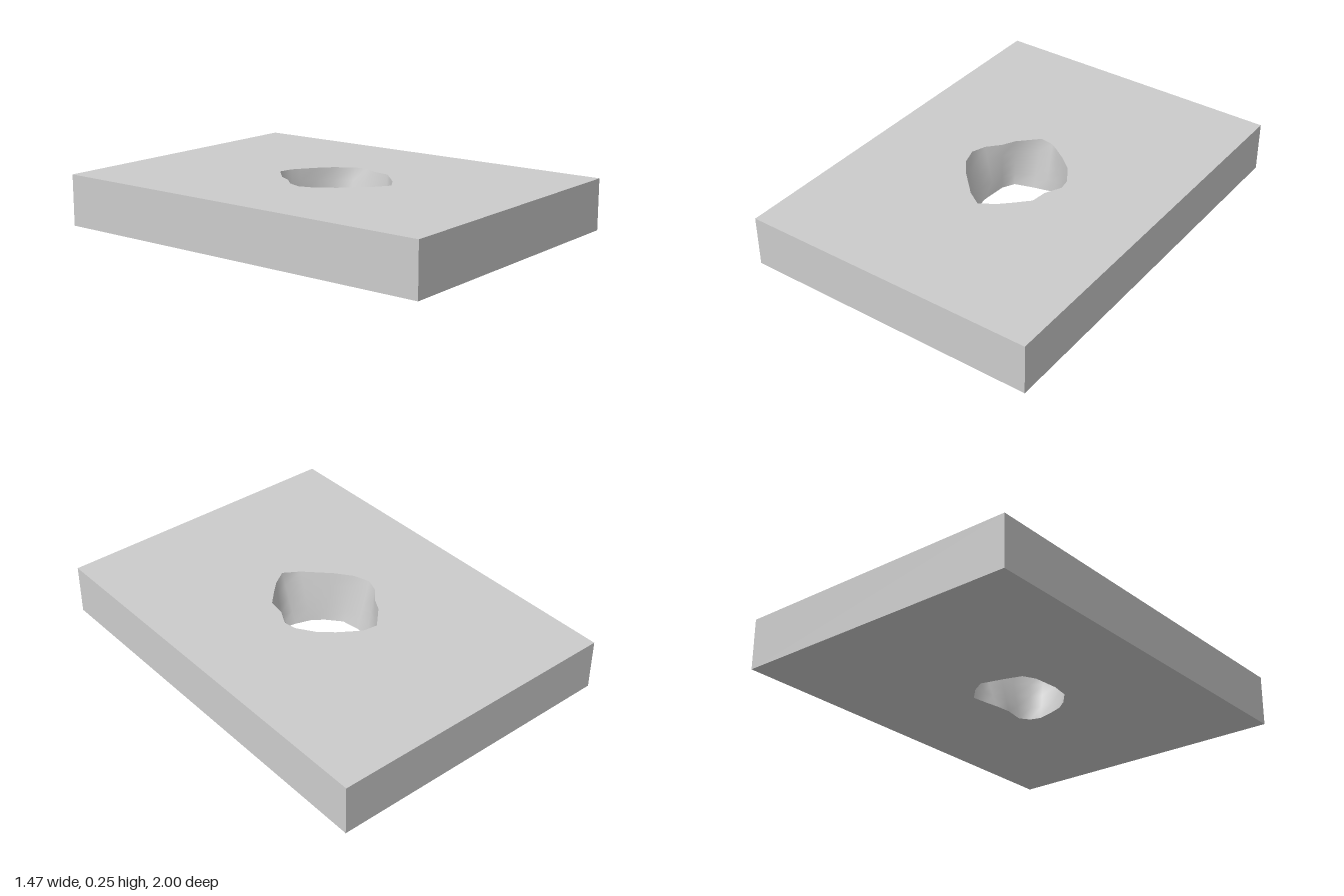
import * as THREE from 'three';

const W = 0.735, D = 1, H = 0.25;

// Ragged hole: [top x, top z, bottom x, bottom z], clockwise seen from above
const RIM = [
  [-0.07, -0.275, -0.07, -0.21], [0, -0.265, -0.01, -0.225], [0.04, -0.24, 0.035, -0.238],
  [0.106, -0.195, 0.10, -0.2], [0.17, -0.14, 0.165, -0.135], [0.23, -0.05, 0.155, -0.05],
  [0.24, 0.01, 0.145, 0.01], [0.2, 0.09, 0.138, 0.09], [0.19, 0.17, 0.155, 0.19],
  [0.127, 0.235, 0.12, 0.235], [0.075, 0.285, 0.07, 0.25], [0, 0.333, 0, 0.235],
  [-0.075, 0.285, -0.075, 0.21], [-0.19, 0.17, -0.13, 0.17], [-0.25, 0.09, -0.19, 0.1],
  [-0.275, 0.01, -0.205, 0.01], [-0.25, -0.06, -0.2, -0.06], [-0.195, -0.12, -0.195, -0.12],
  [-0.16, -0.185, -0.163, -0.18],
];

// Rectangular face pierced by one rim of the hole; dir is +1 facing up, -1 facing down
function piercedFace(rim, dir) {
  const rect = [[-W, -D], [W, -D], [W, D], [-W, D]].map(([x, y]) => new THREE.Vector2(x, y));
  const shape = new THREE.Shape(rect);
  shape.holes.push(new THREE.Path(rim.map(([x, z]) => new THREE.Vector2(x, -dir * z))));
  return new THREE.ShapeGeometry(shape).rotateX(-dir * Math.PI / 2);
}

// Smooth wall lofted between the two rims, facing into the hole
function holeWall(levels) {
  const pos = [], index = [], n = RIM.length;
  for (let j = 0; j <= levels; j++) {
    const t = j / levels;
    for (const [ax, az, bx, bz] of RIM) {
      pos.push(ax + (bx - ax) * t, H * (1 - t), az + (bz - az) * t);
    }
  }
  for (let j = 0; j < levels; j++) {
    for (let i = 0; i < n; i++) {
      const a = j * n + i, b = j * n + (i + 1) % n, c = a + n, d = b + n;
      index.push(a, c, b, b, c, d);
    }
  }
  const geo = new THREE.BufferGeometry();
  geo.setAttribute('position', new THREE.Float32BufferAttribute(pos, 3));
  geo.setIndex(index);
  geo.computeVertexNormals();
  return geo;
}

export function createModel() {
  const model = new THREE.Group();
  model.name = 'slabWithHole';
  const material = new THREE.MeshStandardMaterial({ color: 0xcccccc });
  const add = (name, geo) => {
    const mesh = new THREE.Mesh(geo, material);
    mesh.name = name;
    model.add(mesh);
    return mesh;
  };

  // Top and bottom faces
  add('topFace', piercedFace(RIM.map(r => [r[0], r[1]]), 1)).position.y = H;
  add('bottomFace', piercedFace(RIM.map(r => [r[2], r[3]]), -1));

  // Four outer sides
  ['frontSide', 'leftSide', 'backSide', 'rightSide'].forEach((name, i) => {
    const [width, dist] = i % 2 ? [2 * D, W] : [2 * W, D];
    add(name, new THREE.PlaneGeometry(width, H).translate(0, H / 2, dist).rotateY(i * Math.PI / 2));
  });

  // Inside of the hole
  add('holeWall', holeWall(4));
  return model;
}
